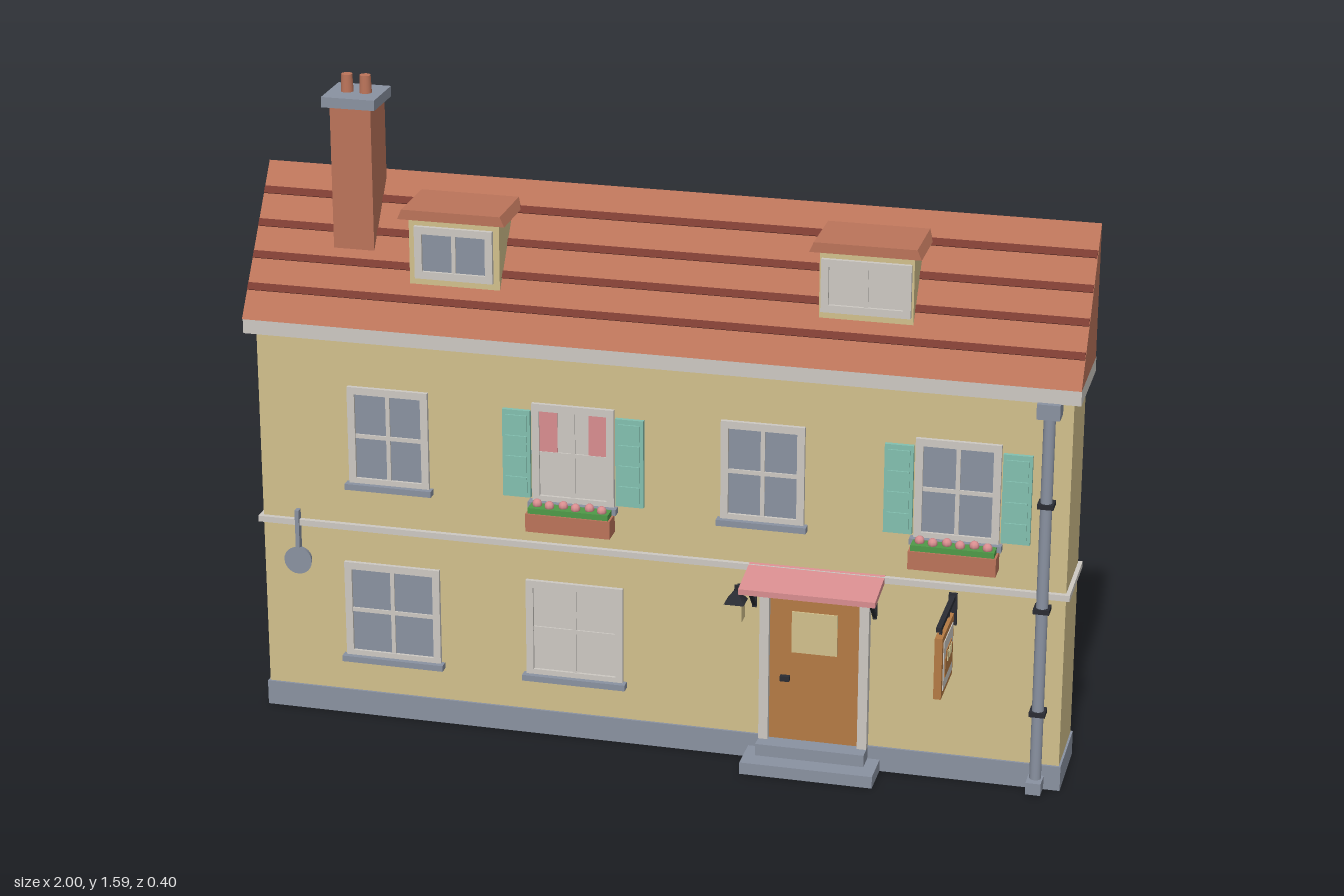
import * as THREE from 'three';

const mat = (name, color) => {
  const m = new THREE.MeshStandardMaterial({ color });
  m.name = name;
  return m;
};

export function createModel() {
  const wall = mat('cream plaster', 0xd2c08c);
  const slate = mat('slate grey', 0x8a92a1);
  const terracotta = mat('terracotta', 0xbb745a);
  const trim = mat('pale trim', 0xcdc9c3);
  const teal = mat('teal paint', 0x83c0b0);
  const pink = mat('pink', 0xd98e90);
  const wood = mat('warm wood', 0xb57b44);
  const iron = mat('dark iron', 0x2a2c33);
  const tile = mat('dark tile', 0x7c3c32);
  const green = mat('leaf green', 0x4f9a48);

  const house = new THREE.Group();
  house.name = 'townhouse';
  const FRONT = 0.005, BACK = -0.187;

  const add = (name, geo, m, x = 0, y = 0, z = 0, parent = house) => {
    const mesh = new THREE.Mesh(geo, m);
    mesh.name = name;
    mesh.position.set(x, y, z);
    parent.add(mesh);
    return mesh;
  };
  // box given by its limits on each axis
  const box = (name, m, x0, x1, y0, y1, z0, z1, parent) =>
    add(name, new THREE.BoxGeometry(x1 - x0, y1 - y0, z1 - z0), m,
      (x0 + x1) / 2, (y0 + y1) / 2, (z0 + z1) / 2, parent);
  // [z, y] profile extruded from x0 to x1
  const prism = (name, m, points, x0, x1) => {
    const shape = new THREE.Shape(points.map(([z, y]) => new THREE.Vector2(-z, y)));
    const geo = new THREE.ExtrudeGeometry(shape, { depth: x1 - x0, bevelEnabled: false });
    return add(name, geo.rotateY(Math.PI / 2), m, x0);
  };
  const cyl = (name, m, r0, r1, h, x, y, z, sides = 16, parent) =>
    add(name, new THREE.CylinderGeometry(r0, r1, h, sides), m, x, y, z, parent);

  // Masonry body
  box('walls', wall, -0.98, 0.98, 0.06, 0.99, BACK, FRONT);
  box('plinth', slate, -0.985, 0.985, 0, 0.062, -0.191, 0.011);
  box('stringCourse', trim, -0.99, 0.99, 0.49, 0.505, -0.193, 0.017);
  box('eavesFascia', trim, -1, 1, 0.983, 1.02, -0.195, 0.04);

  // Roof with dark tile courses lying on the slope
  const EAVE = [0.045, 1.02], RIDGE = [-0.187, 1.345];
  prism('roof', terracotta, [EAVE, RIDGE, [BACK, 1.02]], -1, 1);
  const slope = Math.atan2(RIDGE[1] - EAVE[1], EAVE[0] - RIDGE[0]);
  [1.087, 1.152, 1.217, 1.284].forEach((y) => {
    const z = EAVE[0] - (y - EAVE[1]) / Math.tan(slope);
    const strip = add('tileCourse', new THREE.BoxGeometry(1.998, 0.008, 0.018), tile, 0, y, z);
    strip.rotation.x = slope;
  });

  // Chimney
  box('chimneyStack', terracotta, -0.803, -0.703, 1.1, 1.53, -0.175, -0.068);
  box('chimneyCap', slate, -0.82, -0.69, 1.525, 1.55, -0.187, -0.058);
  for (const x of [-0.776, -0.731]) cyl('chimneyPot', terracotta, 0.013, 0.015, 0.045, x, 1.57, -0.121);

  // Framed window with glazing bars; z is the surface it sits on
  const windowUnit = (name, cx, y0, y1, w, rows, z, glass) => {
    const g = new THREE.Group();
    g.name = name;
    house.add(g);
    const x0 = cx - w / 2, x1 = cx + w / 2, f = 0.018, b = 0.005;
    box('glass', glass, x0 + f, x1 - f, y0 + f, y1 - f, z - 0.004, z + 0.003, g);
    box('frameSide', trim, x0, x0 + f, y0, y1, z - 0.004, z + 0.01, g);
    box('frameSide', trim, x1 - f, x1, y0, y1, z - 0.004, z + 0.01, g);
    box('frameTop', trim, x0 + f, x1 - f, y1 - f, y1, z - 0.004, z + 0.01, g);
    box('frameBottom', trim, x0 + f, x1 - f, y0, y0 + f, z - 0.004, z + 0.01, g);
    box('mullion', trim, cx - b, cx + b, y0 + f, y1 - f, z, z + 0.007, g);
    for (let i = 1; i < rows; i++) {
      const y = y0 + (y1 - y0) * i / rows;
      box('glazingBar', trim, x0 + f, x1 - f, y - b, y + b, z, z + 0.007, g);
    }
    return g;
  };
  const frontWindow = (name, cx, y0, w, glass) => {
    const g = windowUnit(name, cx, y0 + 0.01, y0 + 0.26, w, 2, FRONT, glass);
    box('sill', slate, cx - w / 2 - 0.008, cx + w / 2 + 0.008, y0, y0 + 0.015, FRONT - 0.004, 0.028, g);
    return g;
  };
  frontWindow('upperWindow', -0.655, 0.6, 0.2, slate);
  const curtained = frontWindow('upperWindow', -0.198, 0.6, 0.2, trim);
  frontWindow('upperWindow', 0.26, 0.6, 0.2, slate);
  frontWindow('upperWindow', 0.72, 0.6, 0.2, slate);
  frontWindow('lowerWindow', -0.655, 0.145, 0.24, slate);
  frontWindow('lowerWindow', -0.198, 0.145, 0.24, trim);
  for (const s of [-1, 1]) {
    box('curtain', pink, -0.198 + s * 0.065 - 0.027, -0.198 + s * 0.065 + 0.027,
      0.74, 0.842, 0.007, 0.0105, curtained);
  }

  // Shutters and flower boxes
  for (const cx of [-0.198, 0.72]) {
    for (const s of [-1, 1]) {
      const x = cx + s * 0.138;
      box('shutter', teal, x - 0.034, x + 0.034, 0.62, 0.84, FRONT, 0.015);
      for (let i = 0; i < 4; i++) {
        const y = 0.652 + i * 0.052;
        box('shutterSlat', teal, x - 0.026, x + 0.026, y - 0.02, y + 0.02, 0.014, 0.019);
      }
    }
    box('flowerBox', terracotta, cx - 0.103, cx + 0.103, 0.555, 0.6, 0.018, 0.068);
    box('leaves', green, cx - 0.098, cx + 0.098, 0.598, 0.614, 0.024, 0.064);
    for (let i = 0; i < 6; i++) {
      add('flower', new THREE.SphereGeometry(0.012, 8, 6), pink,
        cx - 0.08 + i * 0.032, 0.619, 0.043 + (i % 2) * 0.008);
    }
  }

  // Dormers
  [[-0.492, slate], [0.49, trim]].forEach(([cx, glass]) => {
    box('dormerBody', wall, cx - 0.11, cx + 0.11, 1.12, 1.287, -0.15, -0.025);
    const top = box('dormerRoof', terracotta, cx - 0.13, cx + 0.13, 1.285, 1.309, -0.165, 0);
    const p = top.geometry.attributes.position;
    for (let i = 0; i < p.count; i++) if (p.getY(i) > 0) p.setX(i, p.getX(i) * 0.92);
    top.geometry.computeVertexNormals();
    windowUnit('dormerWindow', cx, 1.137, 1.265, glass === slate ? 0.19 : 0.21, 1, -0.025, glass);
  });

  // Rear windows
  for (const cx of [-0.59, 0, 0.585]) {
    for (const y of [0.19, 0.65]) {
      box('rearWindow', slate, cx - 0.08, cx + 0.08, y, y + 0.19, -0.191, -0.185);
      box('rearSill', slate, cx - 0.09, cx + 0.09, y - 0.008, y + 0.007, -0.2, -0.185);
    }
  }

  // Doorway, steps and canopy
  box('lowerStep', slate, 0.232, 0.553, 0, 0.03, 0, 0.107);
  box('upperStep', slate, 0.26, 0.523, 0.03, 0.06, 0, 0.06);
  for (const x of [0.26, 0.5]) box('doorPost', trim, x, x + 0.023, 0.06, 0.46, 0, 0.028);
  box('doorLintel', trim, 0.26, 0.523, 0.44, 0.463, 0, 0.029);
  box('door', wood, 0.283, 0.5, 0.06, 0.44, 0, 0.014);
  box('doorPane', wall, 0.336, 0.446, 0.29, 0.395, 0.013, 0.018);
  box('doorHandle', iron, 0.31, 0.333, 0.215, 0.228, 0.013, 0.026);
  prism('doorCanopy', pink, [[0, 0.49], [0.127, 0.474], [0.127, 0.488], [0, 0.507]], 0.23, 0.555);
  for (const x of [0.244, 0.533]) {
    box('canopyBracket', iron, x - 0.005, x + 0.005, 0.395, 0.485, 0, 0.014);
    prism('canopyStrut', iron, [[0.005, 0.4], [0.016, 0.4], [0.09, 0.478], [0.075, 0.48]], x - 0.004, x + 0.004);
  }

  // Wall lantern
  const LX = 0.207, LZ = 0.048;
  box('lanternArm', iron, LX - 0.005, LX + 0.005, 0.438, 0.448, 0, LZ);
  box('lanternGlass', wall, LX - 0.018, LX + 0.018, 0.375, 0.42, LZ - 0.018, LZ + 0.018);
  const cap = cyl('lanternCap', iron, 0.004, 0.034, 0.03, LX, 0.435, LZ, 4);
  cap.rotation.y = Math.PI / 4;
  cyl('lanternFinial', iron, 0.004, 0.004, 0.015, LX, 0.455, LZ, 8);

  // Hanging sign with a loaf on both faces
  const SX = 0.717;
  box('signArm', iron, SX - 0.006, SX + 0.006, 0.463, 0.475, 0, 0.2);
  box('signWallPlate', iron, SX - 0.01, SX + 0.01, 0.4, 0.48, 0, 0.012);
  for (const z of [0.07, 0.17]) box('signHanger', iron, SX - 0.003, SX + 0.003, 0.443, 0.465, z - 0.003, z + 0.003);
  box('signFrame', wood, SX - 0.009, SX + 0.009, 0.293, 0.446, 0.045, 0.197);
  box('signPanel', trim, SX - 0.011, SX + 0.011, 0.309, 0.43, 0.061, 0.181);
  box('signLoaf', wood, SX - 0.013, SX + 0.013, 0.338, 0.385, 0.072, 0.17);
  box('signLoafTop', wood, SX - 0.013, SX + 0.013, 0.384, 0.4, 0.085, 0.157);
  for (const z of [0.1, 0.121, 0.142]) {
    box('loafCut', wall, SX - 0.015, SX + 0.015, 0.37, 0.396, z - 0.005, z + 0.005);
  }

  // Frying pan hung on the wall
  const pan = cyl('panBowl', slate, 0.035, 0.03, 0.018, -0.89, 0.4, 0.014, 24);
  pan.rotation.x = Math.PI / 2;
  box('panHandle', slate, -0.895, -0.885, 0.43, 0.53, FRONT, 0.022);

  // Drainpipe
  const PX = 0.928, PZ = 0.026;
  cyl('drainpipe', slate, 0.014, 0.014, 0.93, PX, 0.49, PZ);
  box('drainHopper', slate, PX - 0.027, PX + 0.027, 0.947, 0.984, FRONT, 0.053);
  box('drainShoe', slate, PX - 0.018, PX + 0.018, 0.005, 0.035, 0.005, 0.058);
  for (const y of [0.205, 0.468, 0.73]) box('pipeBracket', iron, PX - 0.019, PX + 0.019, y - 0.006, y + 0.006, 0, 0.043);

  return house;
}
